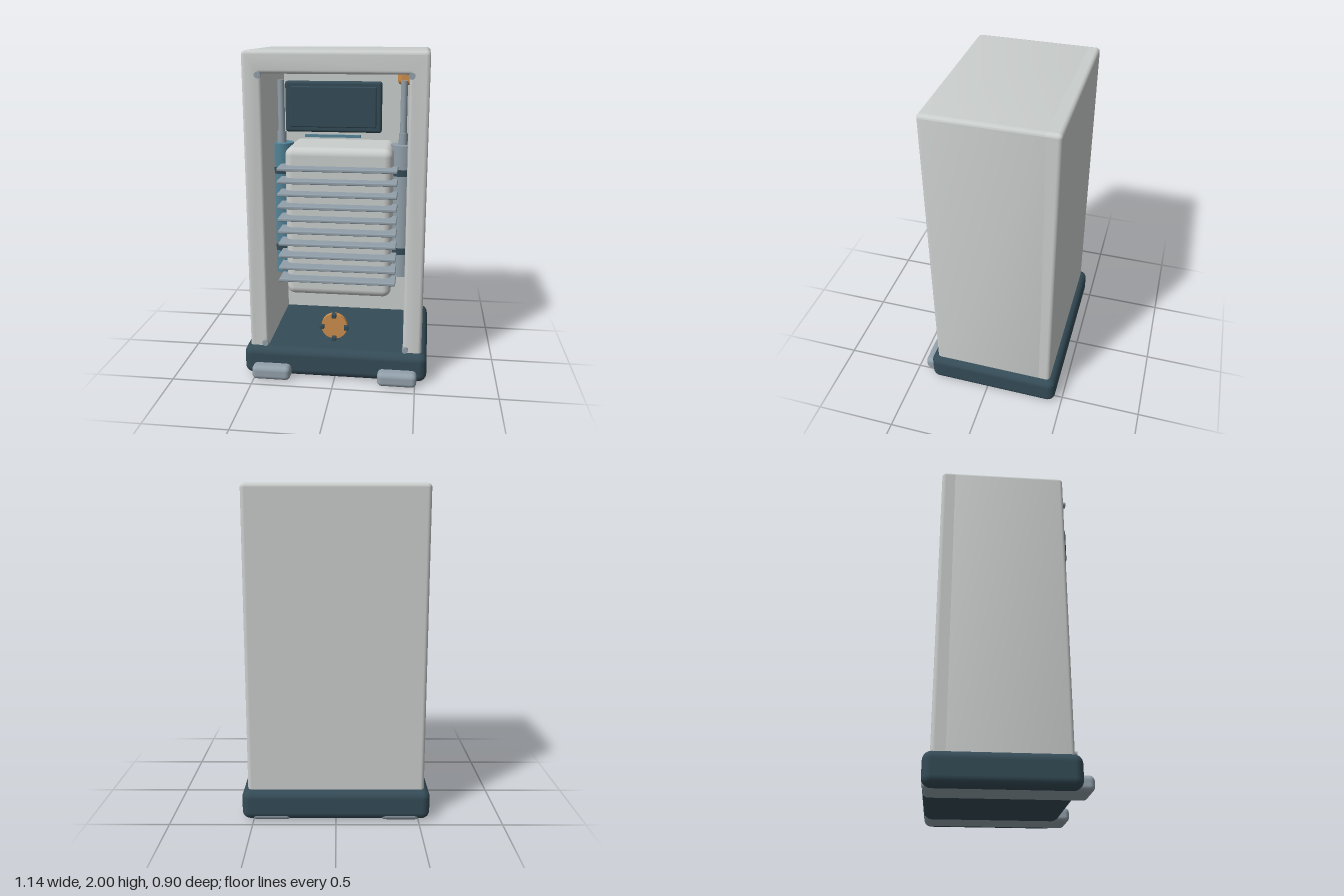
import * as THREE from 'three';
import { toCreasedNormals } from 'three/addons/utils/BufferGeometryUtils.js';
import { RoundedBoxGeometry } from 'three/addons/geometries/RoundedBoxGeometry.js';

const material = (name, color) => {
  const m = new THREE.MeshStandardMaterial({ color });
  m.name = name;
  return m;
};

export function createModel() {
  const model = new THREE.Group();
  const shellGrey = material('shell grey', 0xcacecc);
  const darkSlate = material('dark slate', 0x344b56);
  const steel = material('steel', 0x92a0aa);
  const teal = material('teal', 0x53869a);
  const orange = material('orange', 0xcb8d4c);

  const add = (name, geometry, mat, x = 0, y = 0, z = 0) => {
    const mesh = new THREE.Mesh(geometry, mat);
    mesh.name = name;
    mesh.position.set(x, y, z);
    model.add(mesh);
    return mesh;
  };
  // Rounded box given by its limits on each axis
  const block = (name, mat, [x0, x1], [y0, y1], [z0, z1], radius) => add(
    name,
    radius ? new RoundedBoxGeometry(x1 - x0, y1 - y0, z1 - z0, 4, radius)
      : new THREE.BoxGeometry(x1 - x0, y1 - y0, z1 - z0),
    mat, (x0 + x1) / 2, (y0 + y1) / 2, (z0 + z1) / 2);
  // Upright cylinder between two heights
  const post = (name, mat, r, x, y0, y1, z) => add(
    name, new THREE.CylinderGeometry(r, r, y1 - y0, 32), mat, x, (y0 + y1) / 2, z);
  // Cylinder lying along z
  const disc = (name, mat, r, x, y, z0, z1, sides = 32) => {
    const g = new THREE.CylinderGeometry(r, r, z1 - z0, sides).rotateX(Math.PI / 2);
    return add(name, g, mat, x, y, (z0 + z1) / 2);
  };

  // Plinth and its two foot rails
  block('base', darkSlate, [-0.57, 0.57], [0.003, 0.19], [-0.455, 0.385], 0.05);
  for (const s of [-1, 1]) {
    block('footRail', steel, [s * 0.39 - 0.12, s * 0.39 + 0.12], [0, 0.09], [-0.45, 0.45], 0.03);
  }

  // Open-fronted cabinet: thick bevelled surround plus a back panel
  const bevel = 0.022;
  const outline = new THREE.Shape();
  const r = 0.025;
  outline.moveTo(-0.535, 0.1).lineTo(0.535, 0.1).lineTo(0.535, 2 - r);
  outline.absarc(0.535 - r, 2 - r, r, 0, Math.PI / 2, false);
  outline.absarc(-0.535 + r, 2 - r, r, Math.PI / 2, Math.PI, false);
  outline.lineTo(-0.535, 0.1);
  const opening = new THREE.Path();
  opening.moveTo(-0.42, 0.15).lineTo(-0.42, 1.87).lineTo(0.42, 1.87).lineTo(0.42, 0.15);
  opening.lineTo(-0.42, 0.15);
  outline.holes.push(opening);
  const surround = new THREE.ExtrudeGeometry(outline, {
    depth: 0.71 - 2 * bevel, bevelThickness: bevel, bevelSize: bevel,
    bevelOffset: -bevel, bevelSegments: 4, curveSegments: 6,
  });
  add('cabinetSurround', toCreasedNormals(surround, 0.6), shellGrey, 0, 0, -0.365 + bevel);
  block('cabinetBack', shellGrey, [-0.535, 0.535], [0.1, 2], [-0.415, -0.31], 0.024);

  // Corner screws
  for (const x of [-0.435, 0.435]) {
    for (const y of [0.215, 1.865]) disc('cornerScrew', steel, 0.019, x, y, 0.355, 0.372, 12);
  }

  // Central vessel with cooling fins
  block('vessel', shellGrey, [-0.33, 0.33], [0.47, 1.42], [-0.23, 0.18], 0.05);
  for (let i = 0; i < 10; i++) {
    const y = 0.596 + i * 0.0783;
    block('coolingFin', steel, [-0.362, 0.362], [y - 0.01, y + 0.01], [0.12, 0.26], 0.006);
  }

  // Side tanks with straps, collars and pipes
  for (const s of [-1, 1]) {
    const x = s * 0.383;
    post('sideTank', s < 0 ? teal : steel, 0.075, x, 0.57, 1.42, -0.03);
    for (const y of [0.742, 1.25]) post('tankStrap', darkSlate, 0.08, x, y - 0.021, y + 0.021, -0.03);
    post('pipeCollar', steel, 0.028, x, 1.42, 1.49, -0.03);
    post('pipe', steel, 0.021, x, 1.49, 1.81, -0.03);
  }
  block('valveCap', orange, [0.34, 0.46], [1.78, 1.92], [-0.2, -0.06], 0.03);

  // Display
  block('displayBody', darkSlate, [-0.273, 0.273], [1.55, 1.835], [0.345, 0.388], 0.015);
  block('displayScreen', darkSlate, [-0.243, 0.243], [1.58, 1.807], [0.38, 0.405], 0.006);
  block('statusStrip', teal, [-0.158, 0.158], [1.526, 1.541], [0.403, 0.415]);

  // Hand wheel with four grips
  disc('wheelShaft', steel, 0.03, 0, 0.352, 0.24, 0.34);
  disc('handWheel', orange, 0.08, 0, 0.352, 0.34, 0.37);
  for (let i = 0; i < 4; i++) {
    const a = i * Math.PI / 2;
    const x = 0.075 * Math.cos(a), y = 0.352 + 0.075 * Math.sin(a);
    block('wheelGrip', darkSlate, [x - 0.014, x + 0.014], [y - 0.014, y + 0.014], [0.362, 0.39], 0.004);
  }
  return model;
}
